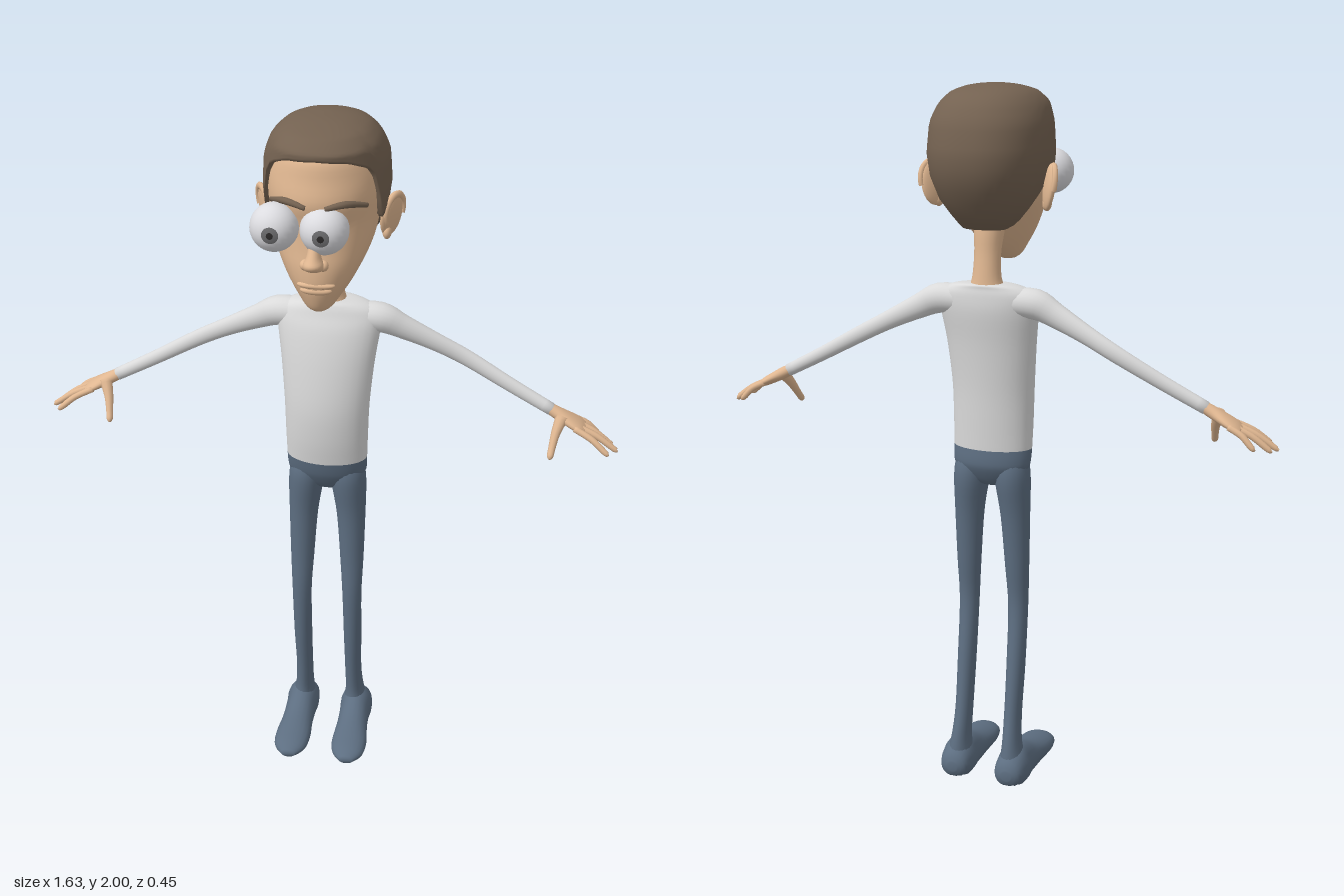
import * as THREE from 'three';

const mat = (name, color) => { const m = new THREE.MeshStandardMaterial({ color }); m.name = name; return m; };
const V = (x, y, z) => new THREE.Vector3(x, y, z);
const Y = V(0, 1, 0), Z = V(0, 0, 1);

// Catmull-Rom interpolation of every column of a table of rows
function smooth(rows, steps) {
  const out = [], at = i => rows[Math.min(Math.max(i, 0), rows.length - 1)];
  for (let i = 0; i < rows.length - 1; i++) for (let k = 0; k < steps; k++) {
    const t = k / steps, [a, b, c, d] = [at(i - 1), at(i), at(i + 1), at(i + 2)];
    out.push(b.map((v, j) => v + 0.5 * t * (c[j] - a[j] + t * (2 * a[j] - 5 * v + 4 * c[j] - d[j]
      + t * (3 * (v - c[j]) + d[j] - a[j])))));
  }
  out.push(at(rows.length - 1));
  return out;
}

// Surface over closed rings of points, optionally capped
function skinRings(rings, caps) {
  const n = rings[0].length, m = rings.length, pos = [], idx = [];
  rings.forEach(r => r.forEach(p => pos.push(p.x, p.y, p.z)));
  for (let i = 0; i < m - 1; i++) for (let j = 0; j < n; j++) {
    const a = i * n + j, b = i * n + (j + 1) % n;
    idx.push(a, b, b + n, a, b + n, a + n);
  }
  if (caps) [0, m - 1].forEach((i, end) => {
    const c = rings[i].reduce((s, p) => s.add(p), V(0, 0, 0)).divideScalar(n), ci = pos.length / 3;
    pos.push(c.x, c.y, c.z);
    for (let j = 0; j < n; j++) {
      const a = i * n + j, b = i * n + (j + 1) % n;
      end ? idx.push(a, b, ci) : idx.push(b, a, ci);
    }
  });
  const g = new THREE.BufferGeometry();
  g.setAttribute('position', new THREE.Float32BufferAttribute(pos, 3));
  g.setIndex(idx);
  g.computeVertexNormals();
  return g;
}

// Loft through rows [x, y, z, side radius, radius along ref]
function loft(rows, { ref = Z, dir = null, n = 20, steps = 4, caps = true, minY = -1 } = {}) {
  const s = smooth(rows, steps), P = r => V(r[0], r[1], r[2]);
  return skinRings(s.map((r, i) => {
    const t = dir || P(s[Math.min(i + 1, s.length - 1)]).sub(P(s[Math.max(i - 1, 0)])).normalize();
    const a = ref.clone().cross(t).normalize(), b = t.clone().cross(a);
    return Array.from({ length: n }, (_, j) => {
      const u = j / n * Math.PI * 2;
      const p = P(r).addScaledVector(a, Math.max(r[3], 0.001) * Math.cos(u))
        .addScaledVector(b, Math.max(r[4], 0.001) * Math.sin(u));
      p.y = Math.max(p.y, minY);
      return p;
    });
  }), caps);
}

// Horizontal sections given as [y, front z, back z, half width]
const stack = (rows, o = {}) =>
  loft(rows.map(([y, f, b, w]) => [0, y, (f + b) / 2, w, (f - b) / 2]), { dir: Y, n: 32, ...o });

// Piecewise linear lookup in rows keyed by their first column
function lookup(rows, k) {
  let i = 1;
  while (i < rows.length - 1 && rows[i][0] < k) i++;
  const [a, b] = [rows[i - 1], rows[i]];
  const t = THREE.MathUtils.clamp((k - a[0]) / (b[0] - a[0]), 0, 1);
  return a.map((v, j) => v + (b[j] - v) * t);
}

// Hair cap: a hull cut along a hairline that depends on the angle from the front
function hairGeometry() {
  const hull = [[2, 0, -0.03, 0], [1.995, 0.06, -0.08, 0.062], [1.98, 0.13, -0.14, 0.108], [1.95, 0.168, -0.18, 0.14],
    [1.9, 0.162, -0.21, 0.16], [1.82, 0.17, -0.226, 0.165], [1.76, 0.17, -0.217, 0.158], [1.7, 0.15, -0.188, 0.138],
    [1.645, 0.1, -0.145, 0.1], [1.615, 0.06, -0.11, 0.075]].map(([y, ...r]) => [Math.sqrt((2 - y) / 0.385), ...r]);
  const line = [[0, 1.935], [0.5, 1.93], [0.8, 1.91], [0.98, 1.89], [1.14, 1.8], [1.27, 1.75], [1.6, 1.745],
    [1.75, 1.69], [1.95, 1.635], [2.3, 1.62], [3.15, 1.62]];
  const n = 56, m = 20, rings = [], bulge = v => Math.sign(v) * Math.abs(v) ** 0.9;
  for (let i = 0; i <= m + 1; i++) rings.push(Array.from({ length: n }, (_, j) => {
    const u = j / n * Math.PI * 2, low = lookup(line, Math.min(u, Math.PI * 2 - u))[1];
    const t = Math.max(Math.min(i / m, 1), 0.02), y = 2 - (2 - low) * t * t, k = i > m ? 0.6 : 1;
    const [, f, b, w] = lookup(hull, Math.sqrt((2 - y) / 0.385));
    return V(bulge(Math.sin(u)) * w * k, y, (f + b) / 2 + bulge(Math.cos(u)) * (f - b) / 2 * k);
  }));
  return skinRings(rings.reverse(), true);
}

export function createModel() {
  const root = new THREE.Group();
  const skin = mat('skin', 0xe0b791), hair = mat('hair', 0x746251), shirt = mat('shirt', 0xdadada);
  const trousers = mat('trousers', 0x5d6e81), white = mat('eyeWhite', 0xdcdce0);
  const irisMat = mat('iris', 0x6c6c6e), pupilMat = mat('pupil', 0x2c2a2a);
  const add = (name, g, m) => { const o = new THREE.Mesh(g, m); o.name = name; root.add(o); return o; };
  const blob = (name, p, s, m = skin) => {
    const o = add(name, new THREE.SphereGeometry(1, 24, 16), m);
    o.position.set(...p); o.scale.set(...s);
    return o;
  };

  // Torso, pelvis and neck
  add('shirtBody', stack([[1, 0.05, -0.09, 0.115], [1.08, 0.06, -0.092, 0.117], [1.18, 0.061, -0.095, 0.12],
    [1.3, 0.043, -0.104, 0.13], [1.39, 0.02, -0.115, 0.142], [1.435, 0, -0.114, 0.143], [1.458, -0.01, -0.11, 0.12],
    [1.47, -0.02, -0.107, 0.075], [1.472, -0.05, -0.08, 0.01]], { caps: false }), shirt);
  add('hips', stack([[0.886, -0.02, -0.03, 0.005], [0.892, -0.005, -0.055, 0.04], [0.91, 0.014, -0.072, 0.085],
    [0.945, 0.034, -0.09, 0.109], [0.97, 0.043, -0.093, 0.114], [1, 0.05, -0.09, 0.115]], { caps: false }), trousers);
  add('neck', loft([[0, 1.45, -0.065, 0.055, 0.044], [0, 1.485, -0.066, 0.041, 0.037], [0, 1.55, -0.06, 0.037, 0.034],
    [0, 1.61, -0.048, 0.042, 0.042], [0, 1.68, -0.03, 0.05, 0.05]], { dir: Y }), skin);

  // Head and hair
  add('head', stack([[1.517, 0.13, 0.08, 0.018], [1.53, 0.148, 0.04, 0.038], [1.56, 0.162, -0.005, 0.06],
    [1.6, 0.172, -0.045, 0.086], [1.65, 0.172, -0.085, 0.112], [1.7, 0.164, -0.12, 0.131], [1.76, 0.16, -0.15, 0.143],
    [1.82, 0.174, -0.17, 0.149], [1.88, 0.163, -0.165, 0.146], [1.93, 0.152, -0.14, 0.125],
    [1.955, 0.12, -0.1, 0.09]]), skin);
  add('hair', hairGeometry(), hair);

  // Nose and mouth
  add('nose', loft([[0, 1.655, 0.17, 0.016, 0.012], [0, 1.664, 0.188, 0.026, 0.026], [0, 1.68, 0.196, 0.026, 0.031],
    [0, 1.7, 0.188, 0.018, 0.026], [0, 1.74, 0.17, 0.014, 0.02], [0, 1.8, 0.155, 0.013, 0.014]], { dir: Y }), skin);
  blob('upperLip', [0, 1.606, 0.158], [0.05, 0.011, 0.017]);
  blob('lowerLip', [0, 1.59, 0.157], [0.042, 0.012, 0.016]);

  // Eyes, both shifted to the model's right
  [['right', -0.106], ['left', 0.022]].forEach(([side, x]) => {
    const cap = (name, r, angle, m) => {
      const g = new THREE.SphereGeometry(r, 24, 6, 0, Math.PI * 2, 0, angle).rotateX(Math.PI / 2);
      add(side + name, g, m).position.set(x, 1.757, 0.156);
    };
    blob(side + 'Eyeball', [x, 1.757, 0.156], [0.063, 0.063, 0.063], white);
    cap('Iris', 0.0637, 0.35, irisMat);
    cap('Pupil', 0.0643, 0.14, pupilMat);
  });

  for (const s of [1, -1]) {
    const side = s > 0 ? 'left' : 'right';
    const limb = (name, rows, m, o) => add(side + name, loft(rows.map(([x, ...r]) => [x * s, ...r]), o), m);

    // Brow, nostril and ear
    limb('Eyebrow', [[0.025, 1.818, 0.174, 0.007, 0.006], [0.075, 1.828, 0.158, 0.009, 0.009],
      [0.123, 1.812, 0.11, 0.005, 0.006]], hair, { ref: Y, n: 10 });
    blob(side + 'Nostril', [s * 0.023, 1.671, 0.183], [0.014, 0.014, 0.017]);
    const ear = blob(side + 'Ear', [s * 0.166, 1.733, -0.035], [0.014, 0.062, 0.042]);
    ear.rotation.set(0, -0.55 * s, -0.12 * s);
    const rim = add(side + 'EarRim', new THREE.TorusGeometry(0.036, 0.008, 8, 28, Math.PI * 1.3)
      .rotateZ(-0.3).rotateY(Math.PI / 2).scale(1, 1.3, 1), skin);
    rim.position.set(s * 0.173, 1.741, -0.037);
    rim.rotation.copy(ear.rotation);
    blob(side + 'EarLobe', [s * 0.157, 1.687, -0.025], [0.012, 0.02, 0.018]);

    // Sleeve and hand
    limb('Sleeve', [[0.07, 1.42, -0.06, 0.04, 0.042], [0.14, 1.42, -0.063, 0.042, 0.042],
      [0.2, 1.394, -0.068, 0.034, 0.029], [0.29, 1.35, -0.079, 0.026, 0.021], [0.38, 1.303, -0.086, 0.023, 0.018],
      [0.5, 1.238, -0.076, 0.02, 0.017], [0.62, 1.176, -0.065, 0.018, 0.017]], shirt);
    limb('Palm', [[0.605, 1.184, -0.066, 0.015, 0.014], [0.64, 1.165, -0.064, 0.017, 0.023],
      [0.675, 1.147, -0.064, 0.015, 0.037], [0.7, 1.134, -0.064, 0.012, 0.042],
      [0.715, 1.127, -0.063, 0.007, 0.036]], skin);
    [[-0.097, 0.762, 1.088, -0.106], [-0.075, 0.798, 1.078, -0.068], [-0.052, 0.81, 1.077, -0.04],
      [-0.031, 0.786, 1.083, -0.003]].forEach(([z, x, y, tz], i) =>
      limb('Finger' + (i + 1), [[0.688, 1.138, z, 0.009, 0.009], [(0.688 + x) / 2, (1.15 + y) / 2, (z + tz) / 2, 0.009, 0.0095],
        [x - 0.008, y + 0.002, tz, 0.008, 0.008], [x, y, tz, 0.003, 0.003]], skin, { n: 10 }));
    limb('Thumb', [[0.652, 1.163, -0.05, 0.019, 0.017], [0.638, 1.125, -0.023, 0.013, 0.013],
      [0.631, 1.09, 0.002, 0.01, 0.01], [0.628, 1.072, 0.016, 0.009, 0.009],
      [0.627, 1.065, 0.022, 0.003, 0.003]], skin, { n: 10 });

    // Leg and foot
    limb('Leg', [[0.083, 0.05, -0.075, 0.04, 0.05], [0.08, 0.11, -0.073, 0.028, 0.042], [0.077, 0.2, -0.057, 0.025, 0.036],
      [0.077, 0.35, -0.034, 0.027, 0.034], [0.076, 0.52, -0.015, 0.029, 0.03], [0.074, 0.65, -0.02, 0.035, 0.035],
      [0.07, 0.8, -0.025, 0.042, 0.044], [0.063, 0.9, -0.027, 0.05, 0.057], [0.058, 0.95, -0.024, 0.049, 0.055],
      [0.05, 0.99, -0.022, 0.038, 0.042]], trousers);
    limb('Foot', [[0.085, 0.032, -0.14, 0.015, 0.014], [0.085, 0.032, -0.125, 0.04, 0.042],
      [0.086, 0.032, -0.08, 0.05, 0.07], [0.086, 0.032, -0.03, 0.047, 0.064], [0.087, 0.028, 0.03, 0.048, 0.046],
      [0.089, 0.025, 0.1, 0.054, 0.034], [0.09, 0.024, 0.15, 0.046, 0.024], [0.09, 0.022, 0.182, 0.02, 0.01]],
      trousers, { ref: Y, dir: Z, minY: 0 });
  }
  return root;
}
